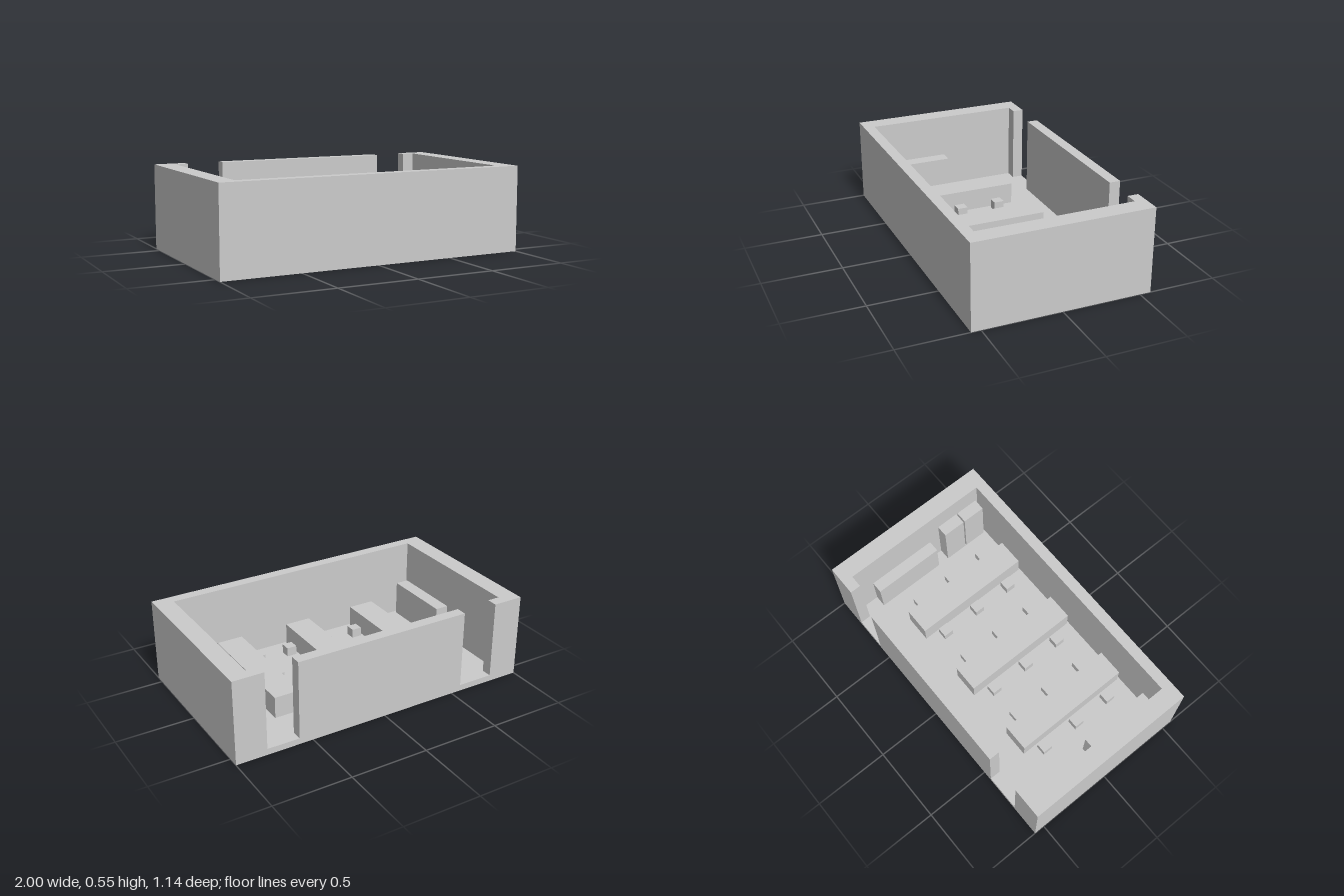
import * as THREE from 'three';

const material = new THREE.MeshStandardMaterial({ color: 0xcccccc, flatShading: true });
const FLOOR = 0.04, WALL = 0.545;

// Extrude a plan outline of [x, z] points upwards from y0 to y1
function slab(name, points, y0, y1) {
  const shape = new THREE.Shape(points.map(([x, z]) => new THREE.Vector2(x, -z)));
  const geometry = new THREE.ExtrudeGeometry(shape, { depth: y1 - y0, bevelEnabled: false });
  geometry.rotateX(-Math.PI / 2).translate(0, y0, 0);
  const mesh = new THREE.Mesh(geometry, material);
  mesh.name = name;
  return mesh;
}

// Box standing on the floor, given by its plan limits and top height
function block(name, x0, x1, z0, z1, top) {
  const mesh = new THREE.Mesh(new THREE.BoxGeometry(x1 - x0, top - FLOOR, z1 - z0), material);
  mesh.position.set((x0 + x1) / 2, (top + FLOOR) / 2, (z0 + z1) / 2);
  mesh.name = name;
  return mesh;
}

export function createModel() {
  const room = new THREE.Group();
  room.name = 'room';

  // Floor plate; the front edge is very slightly out of square
  room.add(slab('floor', [[-1, -0.57], [1, -0.57], [1, 0.56], [-1, 0.568]], 0, FLOOR));

  // Side and front walls with short returns beside the two doorways
  room.add(slab('outerWalls', [
    [-0.8, -0.57], [-1, -0.57], [-1, 0.568], [1, 0.56], [1, -0.57], [0.8, -0.57],
    [0.8, -0.5], [0.88, -0.5], [0.88, 0.49], [-0.88, 0.498], [-0.88, -0.5], [-0.8, -0.5],
  ], FLOOR, WALL));

  // Back wall between the doorways
  room.add(block('backWall', -0.565, 0.59, -0.57, -0.5, WALL));

  // Long tables
  for (const x of [-0.487, 0.017, 0.522]) {
    room.add(block('table', x - 0.087, x + 0.087, -0.307, 0.48, 0.18));
  }

  // Stools along the tables, and a pair by the back wall
  const stool = (x, z) => room.add(block('stool', x - 0.033, x + 0.033, z - 0.033, z + 0.033, 0.1));
  for (const x of [-0.625, -0.35, -0.122, 0.155, 0.385, 0.658]) {
    for (const z of [-0.18, 0.083, 0.345]) stool(x, z);
  }
  stool(0.155, -0.462);
  stool(0.257, -0.462);

  // Low counters and tall cabinets against the side walls
  room.add(block('rightCounter', -0.873, -0.785, 0.003, 0.478, 0.27));
  room.add(block('leftCounter', 0.803, 0.879, -0.38, 0.088, 0.27));
  room.add(block('tallCabinet', 0.803, 0.879, 0.165, 0.315, 0.39));
  room.add(block('tallCabinet', 0.803, 0.879, 0.325, 0.475, 0.39));

  return room;
}
